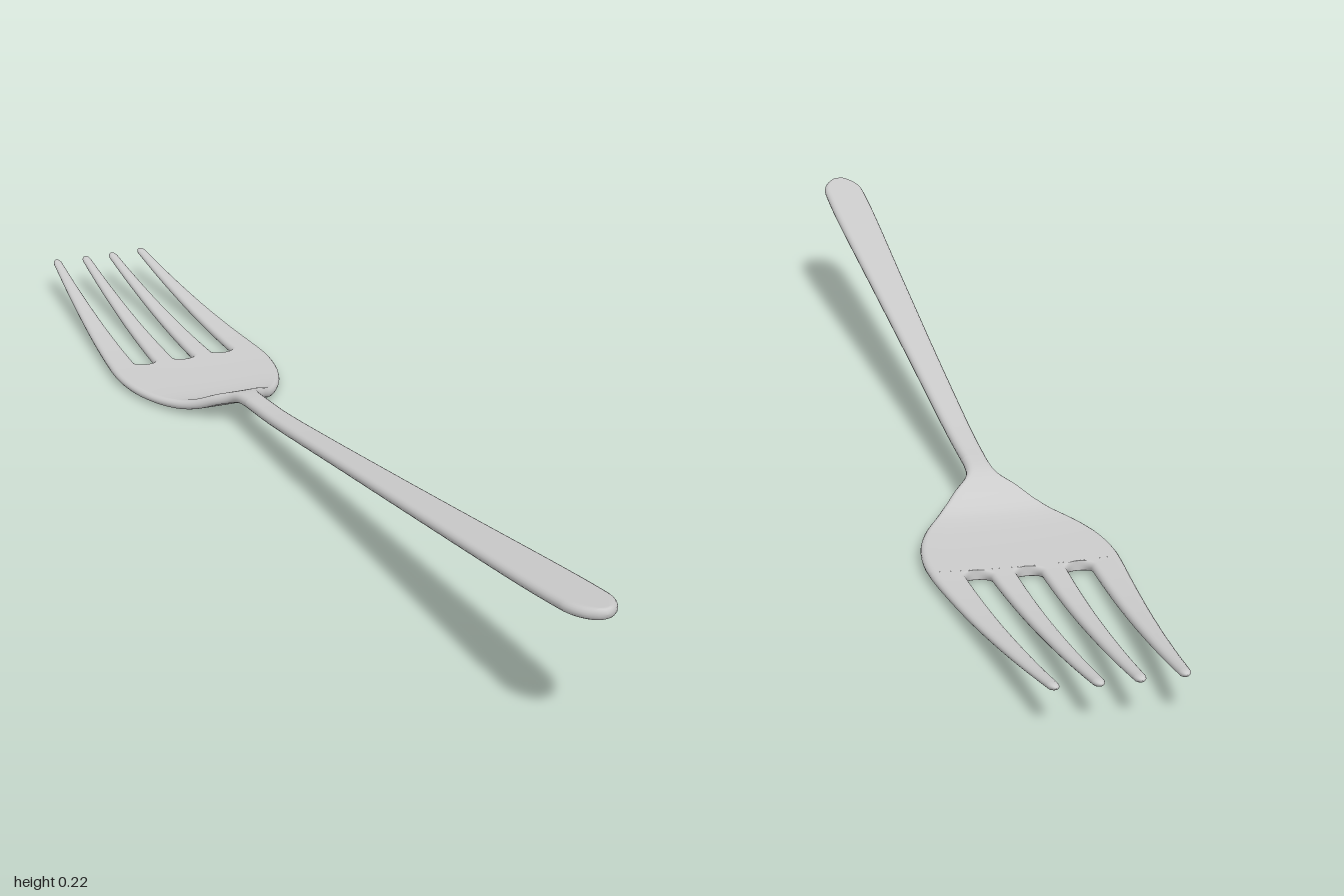
import * as THREE from 'three';

const SLOT_Z = -0.513; // where the slots between the tines begin
const SLOT_R = 0.0185; // rounding of the slot ends

// Smooth interpolation through [z, value] pairs, z descending
function curve(pts) {
  const slope = (i) => {
    const a = pts[Math.max(i - 1, 0)], b = pts[Math.min(i + 1, pts.length - 1)];
    return (b[1] - a[1]) / (b[0] - a[0]);
  };
  return (z) => {
    let i = 0;
    while (i < pts.length - 2 && z < pts[i + 1][0]) i++;
    const [z0, a] = pts[i], [z1, b] = pts[i + 1], d = z1 - z0;
    const t = THREE.MathUtils.clamp((z - z0) / d, 0, 1), t2 = t * t, t3 = t2 * t;
    return a * (2 * t3 - 3 * t2 + 1) + slope(i) * d * (t3 - 2 * t2 + t)
      + b * (3 * t2 - 2 * t3) + slope(i + 1) * d * (t3 - t2);
  };
}

// Side profile: height of the middle of the metal
const height = curve([[1, 0.214], [0.8, 0.185], [0.5, 0.143], [0.2, 0.102], [0, 0.075],
  [-0.1, 0.063], [-0.2, 0.055], [-0.23, 0.05], [-0.26, 0.038], [-0.29, 0.022], [-0.32, 0.013],
  [-0.38, 0.0085], [-0.5, 0.008], [-0.6, 0.011], [-0.7, 0.018], [-0.8, 0.029], [-0.9, 0.043], [-1, 0.06]]);
// Half width of the outline
const outline = curve([[1, 0.036], [0.9, 0.038], [0.8, 0.0375], [0.5, 0.031], [0.2, 0.025],
  [0, 0.022], [-0.15, 0.02], [-0.21, 0.021], [-0.235, 0.028], [-0.26, 0.05], [-0.3, 0.083],
  [-0.35, 0.115], [-0.4, 0.134], [-0.45, 0.143], [-0.5, 0.1445], [-0.6, 0.136], [-0.8, 0.1155], [-1, 0.095]]);
// Half thickness
const thickness = curve([[1, 0.0085], [0, 0.009], [-0.22, 0.0095], [-0.35, 0.008],
  [-0.5, 0.008], [-0.8, 0.007], [-1, 0.0055]]);

// 1 along the part, falling as a quarter ellipse to 0 at a distance of 0
const roundEnd = (dist, r) => (dist >= r ? 1 : Math.sqrt(Math.max(0, 1 - (1 - dist / r) ** 2)));

// Skin over cross-sections with rounded edges; section(z) gives left, right, edge radii, half thickness
function loft(name, stations, section, material) {
  const pos = [], index = [], ARC = 4, MID = 8;
  let ring = 0;
  for (const z of stations) {
    const { l, r, el, er, t } = section(z);
    const half = (r - l) / 2, a = Math.min(el, half), b = Math.min(er, half);
    const top = [];
    for (let k = 0; k <= ARC; k++) {
      const q = (k / ARC) * Math.PI / 2;
      top.push([l + a * (1 - Math.cos(q)), t * Math.sin(q)]);
    }
    for (let k = 1; k < MID; k++) top.push([l + a + (r - b - l - a) * k / MID, t]);
    for (let k = ARC; k >= 0; k--) {
      const q = (k / ARC) * Math.PI / 2;
      top.push([r - b * (1 - Math.cos(q)), t * Math.sin(q)]);
    }
    const loop = [...top, ...top.slice(1, -1).reverse().map(([x, y]) => [x, -y])];
    ring = loop.length;
    // Offset square to the side profile, with a shallow dish across the head
    const lean = Math.atan((height(z + 0.004) - height(z - 0.004)) / 0.008);
    const inner = Math.abs(z) > 0.99 ? 0 : lean;
    for (const [x, y] of loop) {
      pos.push(x, height(z) + y * Math.cos(inner) + 0.2 * x * x * (z < -0.2 ? 1 : 0), z - y * Math.sin(inner));
    }
  }
  for (let i = 0; i < stations.length - 1; i++) {
    for (let j = 0; j < ring; j++) {
      const a = i * ring + j, b = i * ring + (j + 1) % ring;
      index.push(a, b, a + ring, b, b + ring, a + ring);
    }
  }
  const geo = new THREE.BufferGeometry();
  geo.setAttribute('position', new THREE.Float32BufferAttribute(pos, 3));
  geo.setIndex(index);
  geo.computeVertexNormals();
  const mesh = new THREE.Mesh(geo, material);
  mesh.name = name;
  return mesh;
}

// n steps from a to b; easing packs them closer at the 'start' or 'end'
function steps(a, b, n, ease) {
  return Array.from({ length: n + 1 }, (_, i) => {
    const u = i / n;
    const k = ease === 'start' ? 1 - Math.cos(u * Math.PI / 2)
      : ease === 'end' ? Math.sin(u * Math.PI / 2) : u;
    return a + (b - a) * k;
  });
}

export function createModel() {
  const group = new THREE.Group();
  group.name = 'fork';
  const metal = new THREE.MeshStandardMaterial({ color: 0xcccccc, side: THREE.DoubleSide });

  // Handle and head share the same rule
  const body = (z) => {
    const w = outline(z) * roundEnd(1 - z, 0.06);
    return { l: -w, r: w, el: 0.01, er: 0.01, t: thickness(z) * roundEnd(1 - z, 0.006) };
  };
  group.add(loft('handle', [...steps(1, 0.94, 14, 'start'), ...steps(0.94, -0.18, 30).slice(1)], body, metal));
  group.add(loft('head', steps(-0.18, SLOT_Z, 50), body, metal));

  // Tines: each lies between two slots, or between a slot and the outline
  const tineStations = [
    ...steps(SLOT_Z, SLOT_Z - SLOT_R, 8, 'start'),
    ...steps(SLOT_Z - SLOT_R, -0.985, 28).slice(1),
    ...steps(-0.985, -1, 7, 'end').slice(1),
  ];
  const tine = (outer, side) => (z) => {
    const s = (SLOT_Z - z) / (SLOT_Z + 1);
    const open = roundEnd(SLOT_Z - z, SLOT_R);
    const slotX = 0.0765 - 0.019 * s;
    const slotW = (SLOT_R + 0.0035 * s) * open;
    let l = outer ? slotX + slotW : (SLOT_R + 0.001 * s) * open;
    let r = outer ? outline(z) : slotX - slotW;
    const tip = roundEnd(z + 1, 0.014), mid = (l + r) / 2;
    l = mid + (l - mid) * tip;
    r = mid + (r - mid) * tip;
    const el = 0.008 * open, er = outer ? 0.01 : el, t = thickness(z) * tip;
    return side > 0 ? { l, r, el, er, t } : { l: -r, r: -l, el: er, er: el, t };
  };
  for (const side of [1, -1]) {
    const word = side > 0 ? 'left' : 'right';
    group.add(loft(word + 'InnerTine', tineStations, tine(false, side), metal));
    group.add(loft(word + 'OuterTine', tineStations, tine(true, side), metal));
  }
  return group;
}
